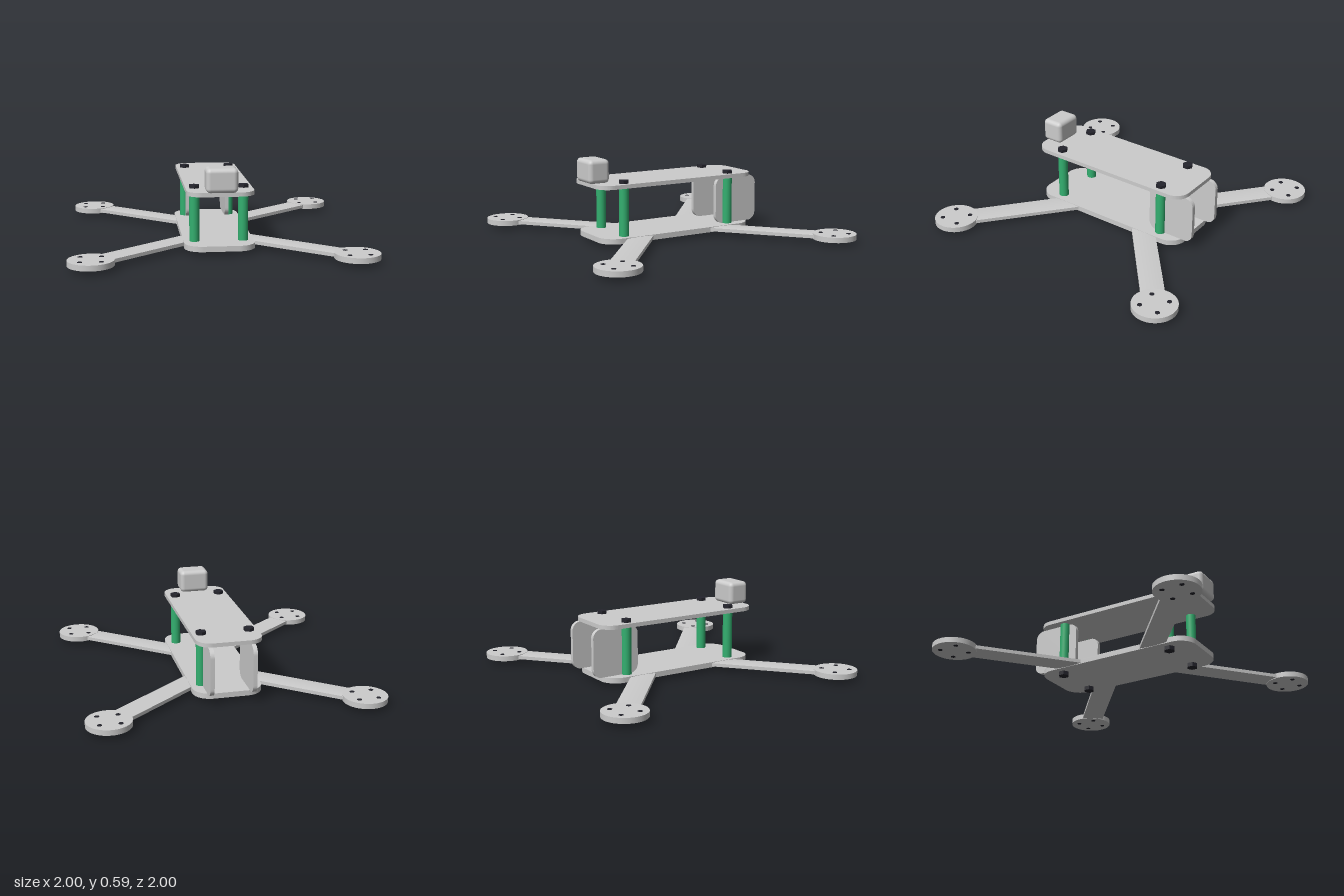
import * as THREE from 'three';
import { toCreasedNormals } from 'three/addons/utils/BufferGeometryUtils.js';
import { RoundedBoxGeometry } from 'three/addons/geometries/RoundedBoxGeometry.js';

const material = (name, color) => {
  const m = new THREE.MeshStandardMaterial({ color });
  m.name = name;
  return m;
};

// Rounded rectangle centred on the origin
function roundedRect(w, h, r) {
  const x = w / 2, y = h / 2, s = new THREE.Shape();
  s.moveTo(-x + r, -y);
  s.lineTo(x - r, -y);
  s.absarc(x - r, -y + r, r, -Math.PI / 2, 0);
  s.lineTo(x, y - r);
  s.absarc(x - r, y - r, r, 0, Math.PI / 2);
  s.lineTo(-x + r, y);
  s.absarc(-x + r, y - r, r, Math.PI / 2, Math.PI);
  s.lineTo(-x, -y + r);
  s.absarc(-x + r, -y + r, r, Math.PI, Math.PI * 1.5);
  return s;
}

// Extrusion centred along its depth, smooth on curves and sharp at edges
function extrude(shape, depth) {
  const g = new THREE.ExtrudeGeometry(shape, { depth, bevelEnabled: false, curveSegments: 10 });
  g.translate(0, 0, -depth / 2);
  return toCreasedNormals(g, 0.6);
}

export function createModel() {
  const root = new THREE.Group();
  root.name = 'quadcopterFrame';
  const grey = material('frame grey', 0xcccccc);
  const green = material('standoff green', 0x33b070);
  const black = material('screw black', 0x24242c);

  const add = (name, geometry, mat, x, y, z, parent = root) => {
    const mesh = new THREE.Mesh(geometry, mat);
    mesh.name = name;
    mesh.position.set(x, y, z);
    parent.add(mesh);
    return mesh;
  };

  // Bottom and top deck plates
  const bottom = extrude(roundedRect(0.475, 1.2, 0.12), 0.037).rotateX(Math.PI / 2);
  add('bottomPlate', bottom, grey, 0, 0.047, 0);
  const top = extrude(roundedRect(0.45, 1.245, 0.1), 0.028).rotateX(Math.PI / 2);
  add('topPlate', top, grey, 0, 0.414, 0);

  // Arm cross-section: slightly crowned above and below
  const section = new THREE.Shape();
  section.moveTo(-0.078, -0.012);
  section.quadraticCurveTo(0, -0.021, 0.078, -0.012);
  section.lineTo(0.078, 0.012);
  section.quadraticCurveTo(0, 0.021, -0.078, 0.012);
  section.closePath();
  const armStart = new THREE.Vector2(0.12, 0.24), armEnd = new THREE.Vector2(0.85, 0.85);
  const armGeo = extrude(section, armStart.distanceTo(armEnd));

  const padGeo = new THREE.CylinderGeometry(0.15, 0.15, 0.037, 48);
  const holeGeo = new THREE.CylinderGeometry(0.016, 0.016, 0.041, 16);
  const postGeo = new THREE.CylinderGeometry(0.034, 0.034, 0.336, 24);
  const screwGeo = new THREE.CylinderGeometry(0.037, 0.037, 0.03, 6).toNonIndexed();
  screwGeo.computeVertexNormals();

  for (const sx of [-1, 1]) for (const sz of [-1, 1]) {
    // Arm with its motor pad and mounting holes
    const corner = new THREE.Group();
    corner.name = (sz > 0 ? 'front' : 'back') + (sx > 0 ? 'Left' : 'Right') + 'Arm';
    root.add(corner);
    const arm = add('arm', armGeo, grey,
      sx * (armStart.x + armEnd.x) / 2, 0.047, sz * (armStart.y + armEnd.y) / 2, corner);
    arm.rotation.y = Math.atan2(sx * (armEnd.x - armStart.x), sz * (armEnd.y - armStart.y));
    add('motorPad', padGeo, grey, sx * 0.85, 0.047, sz * 0.85, corner);
    for (const hx of [-1, 1]) for (const hz of [-1, 1])
      add('motorHole', holeGeo, black, sx * 0.85 + hx * 0.067, 0.047, sz * 0.85 + hz * 0.067, corner);

    // Standoff held by a hex screw at each end
    add('standoff', postGeo, green, sx * 0.165, 0.233, sz * 0.425);
    add('topScrew', screwGeo, black, sx * 0.165, 0.434, sz * 0.425);
    add('bottomScrew', screwGeo, black, sx * 0.165, 0.015, sz * 0.425);
  }

  // Upright side plates at the back
  const sideGeo = extrude(roundedRect(0.345, 0.334, 0.06), 0.029).rotateY(Math.PI / 2);
  for (const sx of [-1, 1]) add('sidePlate', sideGeo, grey, sx * 0.145, 0.232, -0.505);

  // Camera block on the front of the top plate
  add('camera', new RoundedBoxGeometry(0.21, 0.162, 0.156, 5, 0.03), grey, 0, 0.508, 0.573);

  return root;
}
